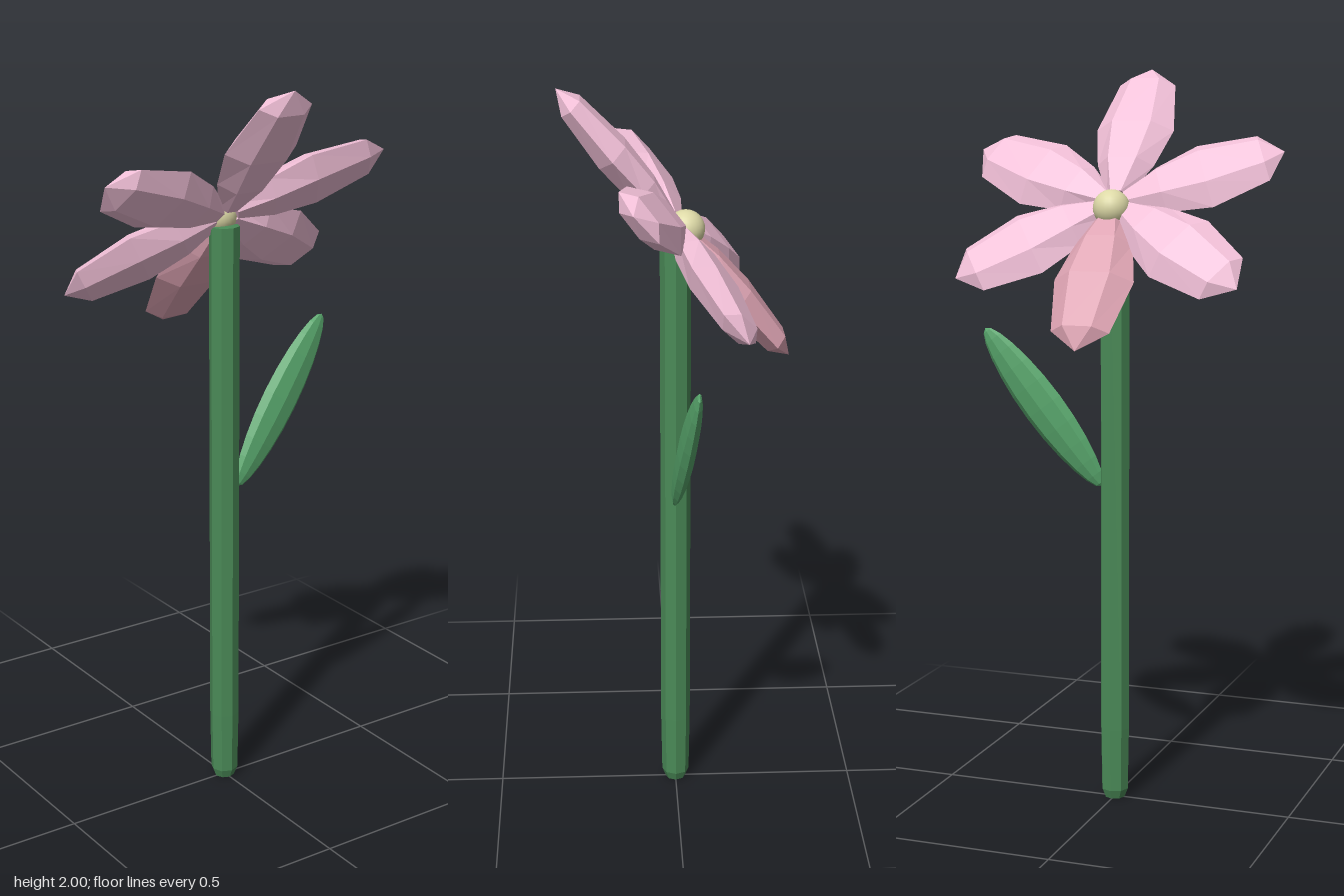
import * as THREE from 'three';

const paint = (color) => new THREE.MeshStandardMaterial({ color, flatShading: true });

function part(name, geometry, material) {
  const mesh = new THREE.Mesh(geometry, material);
  mesh.name = name;
  return mesh;
}

// Closed body along +y. Each station is [y, half width, half thickness].
function loft(stations, sides) {
  const positions = [], index = [];
  for (const [y, w, h] of stations) {
    for (let j = 0; j < sides; j++) {
      const a = (j / sides) * Math.PI * 2;
      positions.push(w * Math.cos(a), y, h * Math.sin(a));
    }
  }
  for (let i = 0; i < stations.length - 1; i++) {
    for (let j = 0; j < sides; j++) {
      const a = i * sides + j, b = i * sides + (j + 1) % sides;
      const c = a + sides, d = b + sides;
      index.push(a, c, b, b, c, d);
    }
  }
  const geometry = new THREE.BufferGeometry();
  geometry.setAttribute('position', new THREE.Float32BufferAttribute(positions, 3));
  geometry.setIndex(index);
  geometry.computeVertexNormals();
  return geometry;
}

export function createModel() {
  const flower = new THREE.Group();
  flower.name = 'flower';
  const pink = paint(0xf2c0d8), darkPink = paint(0xdda3b2);

  // Octagonal stem with a chamfered foot
  flower.add(part('stem', new THREE.LatheGeometry([
    [0, 0], [0.028, 0], [0.038, 0.025], [0.041, 0.2], [0.041, 1.61], [0, 1.615],
  ].map(([r, y]) => new THREE.Vector2(r, y)), 8), paint(0x4a8a57)));

  // Full, rounded leaf leaning out to the left
  const leafLength = 0.535, leafStations = [];
  for (let i = 0; i <= 12; i++) {
    const t = (1 - Math.cos((i / 12) * Math.PI)) / 2;
    const swell = Math.pow(Math.sin(Math.PI * t), 0.5);
    leafStations.push([t * leafLength, 0.06 * swell, 0.025 * swell]);
  }
  const leaf = part('leaf', loft(leafStations, 8), paint(0x57a56b));
  leaf.position.set(0.04, 0.878, 0.005);
  leaf.quaternion.setFromUnitVectors(
    new THREE.Vector3(0, 1, 0), new THREE.Vector3(0.315, 0.42, -0.05).normalize());
  flower.add(leaf);

  // Tilted head: six thick faceted petals sharing one shape
  const head = new THREE.Group();
  head.name = 'head';
  head.position.y = 1.643;
  head.rotation.x = THREE.MathUtils.degToRad(40.2);
  const petalShape = loft([
    [0.025, 0, 0], [0.03, 0.03, 0.025], [0.13, 0.08, 0.045], [0.25, 0.11, 0.05],
    [0.41, 0.08, 0.035], [0.468, 0, 0],
  ], 6);
  [90, 23, -33, -90, 214, 157].forEach((degrees) => {
    const petal = part('petal', petalShape, degrees === -90 ? darkPink : pink);
    petal.rotation.z = THREE.MathUtils.degToRad(degrees - 90);
    head.add(petal);
  });
  flower.add(head);

  // Round smooth centre, sunk between the petals
  const centre = part('centre', new THREE.SphereGeometry(0.05, 24, 16),
    new THREE.MeshStandardMaterial({ color: 0xdcd8a6 }));
  centre.position.set(0, 1.634, -0.027);
  flower.add(centre);

  return flower;
}
